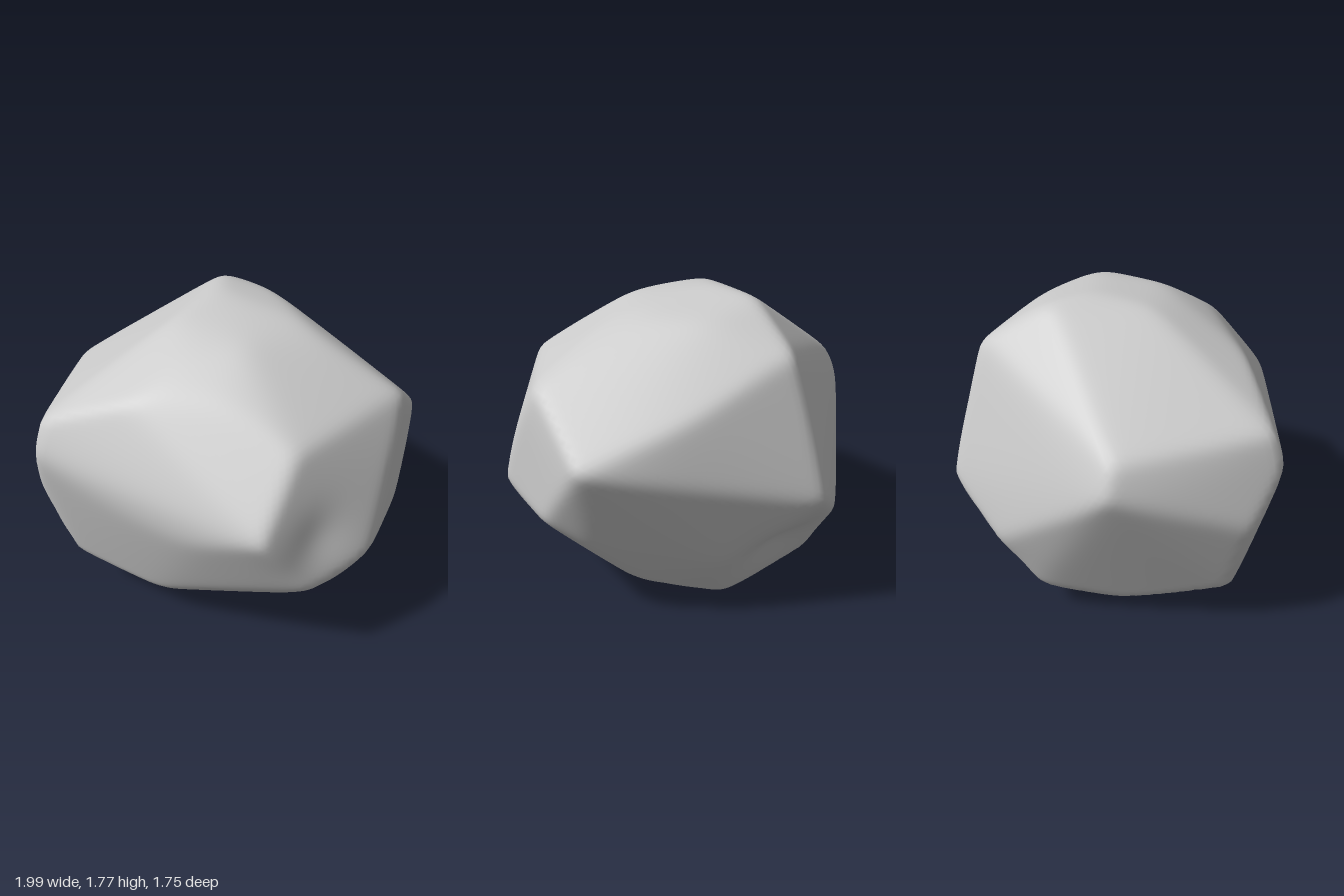
import * as THREE from 'three';
import { mergeVertices } from 'three/addons/utils/BufferGeometryUtils.js';
import { ConvexGeometry } from 'three/addons/geometries/ConvexGeometry.js';

// Corners where the broad, worn facets of the boulder meet
const corners = [
  // crown
  [-0.25, 1.76, -0.35], [-0.12, 1.78, -0.15], [0.3, 1.71, -0.22], [0.5, 1.63, -0.15],
  [-0.2, 1.73, 0.18], [0.22, 1.7, 0.18], [0, 1.64, 0.38], [0.05, 1.69, -0.45],
  // upper back ridge
  [-0.31, 1.55, -0.71], [0.3, 1.28, -0.77], [0.62, 1.05, -0.77],
  // upper front brow
  [-0.62, 1.3, 0.82], [-0.12, 1.5, 0.63], [0.25, 1.54, 0.45], [0.7, 1.36, 0.44],
  // right facet
  [0.68, 1.0, 0.75], [0.9, 1.4, -0.3], [0.935, 1.3, -0.25], [0.82, 1.1, -0.72],
  [0.97, 1.05, -0.05], [1.0, 0.69, 0.18], [0.83, 0.59, 0.51], [0.89, 0.57, 0.3],
  [0.92, 0.68, -0.35],
  // front ridge and left front corner
  [-0.62, 1.12, 0.88], [-0.75, 0.83, 0.74], [-0.05, 0.9, 0.82], [0.35, 0.88, 0.79],
  [0.5, 0.52, 0.6],
  // left point and back corner
  [-1.01, 1.1, 0.04], [-0.93, 1.27, 0.06], [-0.45, 0.79, -0.89], [-0.8, 0.66, -0.25],
  // rim of the worn hollow low on the back
  [-0.68, 0.55, -0.6], [-0.62, 0.21, -0.4], [0.04, 0.37, -0.63], [-0.12, 0.61, -0.75],
  // underside
  [-0.61, 0.32, 0.66], [-0.05, 0.24, 0.6], [0.22, 0.13, 0.25], [-0.57, 0.12, 0.1],
  [-0.12, 0, -0.37], [-0.32, 0.03, -0.27], [0.65, 0.34, 0.05], [0.4, 0.2, -0.36],
  [0.7, 0.56, -0.48],
].map(c => new THREE.Vector3(...c));

const centre = new THREE.Vector3(0, 0.9, 0);
const sharpness = 70; // higher gives crisper edges between facets
const swell = 1.016; // facets sit slightly out, as rounding pulls the corners in

// Shallow hollows worn into the back and the right facet
const hollows = [
  { at: [-0.36, 0.42, -0.58], depth: 0.07, spread: 0.25 },
  { at: [0.85, 0.86, 0.45], depth: 0.035, spread: 0.2 },
].map(h => ({ ...h, dir: new THREE.Vector3(...h.at).sub(centre).normalize() }));

// Outward facet normals divided by their distance from the centre
function facetPlanes() {
  const pos = new ConvexGeometry(corners).getAttribute('position');
  const planes = [];
  const at = i => new THREE.Vector3().fromBufferAttribute(pos, i).sub(centre);
  for (let i = 0; i < pos.count; i += 3) {
    const plane = new THREE.Plane().setFromCoplanarPoints(at(i), at(i + 1), at(i + 2));
    const n = plane.normal.clone().divideScalar(-plane.constant * swell);
    // merge triangles that lie on nearly the same facet
    if (!planes.some(q => q.distanceTo(n) < 0.02)) planes.push(n);
  }
  return planes;
}

export function createModel() {
  const group = new THREE.Group();
  group.name = 'boulder';

  // Fine sphere pushed out to the facets, with softly blended edges
  let geometry = new THREE.IcosahedronGeometry(1, 32);
  geometry.deleteAttribute('normal');
  geometry.deleteAttribute('uv');
  geometry = mergeVertices(geometry, 1e-4);

  const planes = facetPlanes();
  const pos = geometry.getAttribute('position');
  const v = new THREE.Vector3();
  for (let i = 0; i < pos.count; i++) {
    v.fromBufferAttribute(pos, i).normalize();
    let sum = 0;
    for (const n of planes) sum += Math.pow(Math.max(0, n.dot(v)), sharpness);
    let radius = Math.pow(sum, -1 / sharpness);
    for (const h of hollows) radius -= h.depth * Math.exp(-((v.angleTo(h.dir) / h.spread) ** 2));
    v.multiplyScalar(radius).add(centre);
    pos.setXYZ(i, v.x, Math.max(0, v.y), v.z);
  }
  geometry.computeVertexNormals();

  const rock = new THREE.Mesh(geometry, new THREE.MeshStandardMaterial({ color: 0xcccccc }));
  rock.name = 'rock';
  group.add(rock);
  return group;
}
